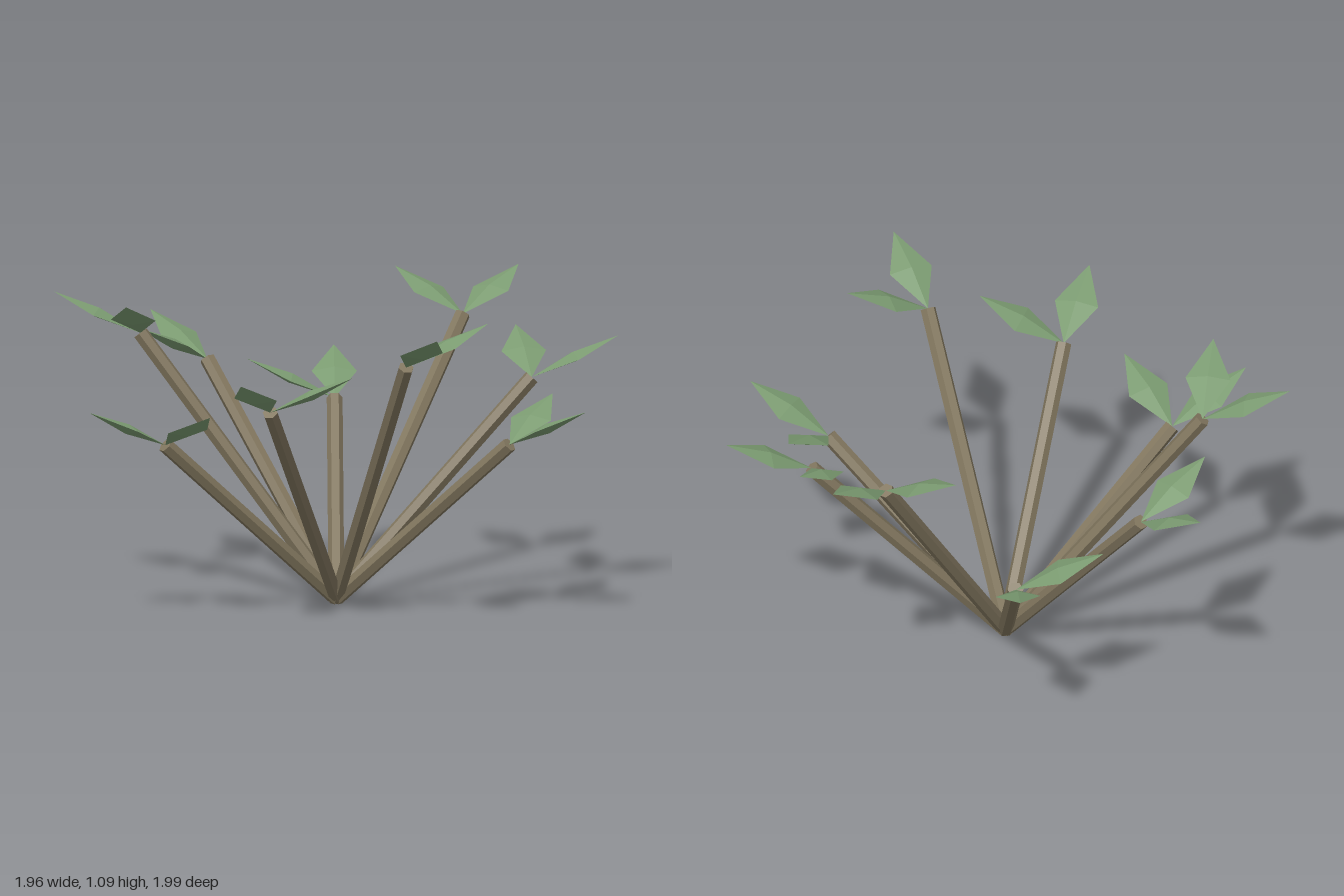
import * as THREE from 'three';

export function createModel() {
  const model = new THREE.Group();
  model.name = 'shrub';

  const bark = new THREE.MeshStandardMaterial({ color: 0x82775f, flatShading: true });
  bark.name = 'bark brown';
  const foliage = new THREE.MeshStandardMaterial({ color: 0x7b9b71, flatShading: true });
  foliage.name = 'leaf green';

  // Stems fan out from one root point, cycling through three heights
  const root = new THREE.Vector3(-0.03, 0.021, 0);
  const reach = 0.7;
  const tipHeights = [0.625, 0.95, 0.79];
  const up = new THREE.Vector3(0, 1, 0);

  // Flat diamond leaf starting at its own origin and running along +x
  const leafLength = 0.34;
  const leafRise = Math.atan2(0.14, 0.31);
  const leafGeometry = new THREE.OctahedronGeometry(1)
    .scale(leafLength / 2, 0.018, 0.08)
    .translate(leafLength / 2, 0, 0)
    .rotateZ(leafRise);

  for (let i = 0; i < 9; i++) {
    const angle = (i * 2 * Math.PI) / 9;
    const branch = new THREE.Group();
    branch.name = `branch${i + 1}`;

    const tip = new THREE.Vector3(
      root.x + reach * Math.cos(angle),
      tipHeights[i % 3],
      reach * Math.sin(angle)
    );

    // Six-sided stem, tilted outward and then turned into place
    const axis = tip.clone().sub(root);
    const length = axis.length();
    const stem = new THREE.Mesh(new THREE.CylinderGeometry(0.028, 0.028, length, 6), bark);
    stem.name = 'stem';
    stem.geometry.rotateZ(-axis.angleTo(up));
    stem.rotation.y = -angle;
    stem.position.copy(root).add(tip).multiplyScalar(0.5);
    branch.add(stem);

    // One leaf points outward, the other a quarter turn to the side
    [['outerLeaf', 0], ['sideLeaf', Math.PI / 2]].forEach(([name, turn]) => {
      const leaf = new THREE.Mesh(leafGeometry, foliage);
      leaf.name = name;
      leaf.position.copy(tip);
      leaf.rotation.y = turn - angle;
      branch.add(leaf);
    });

    model.add(branch);
  }
  return model;
}
